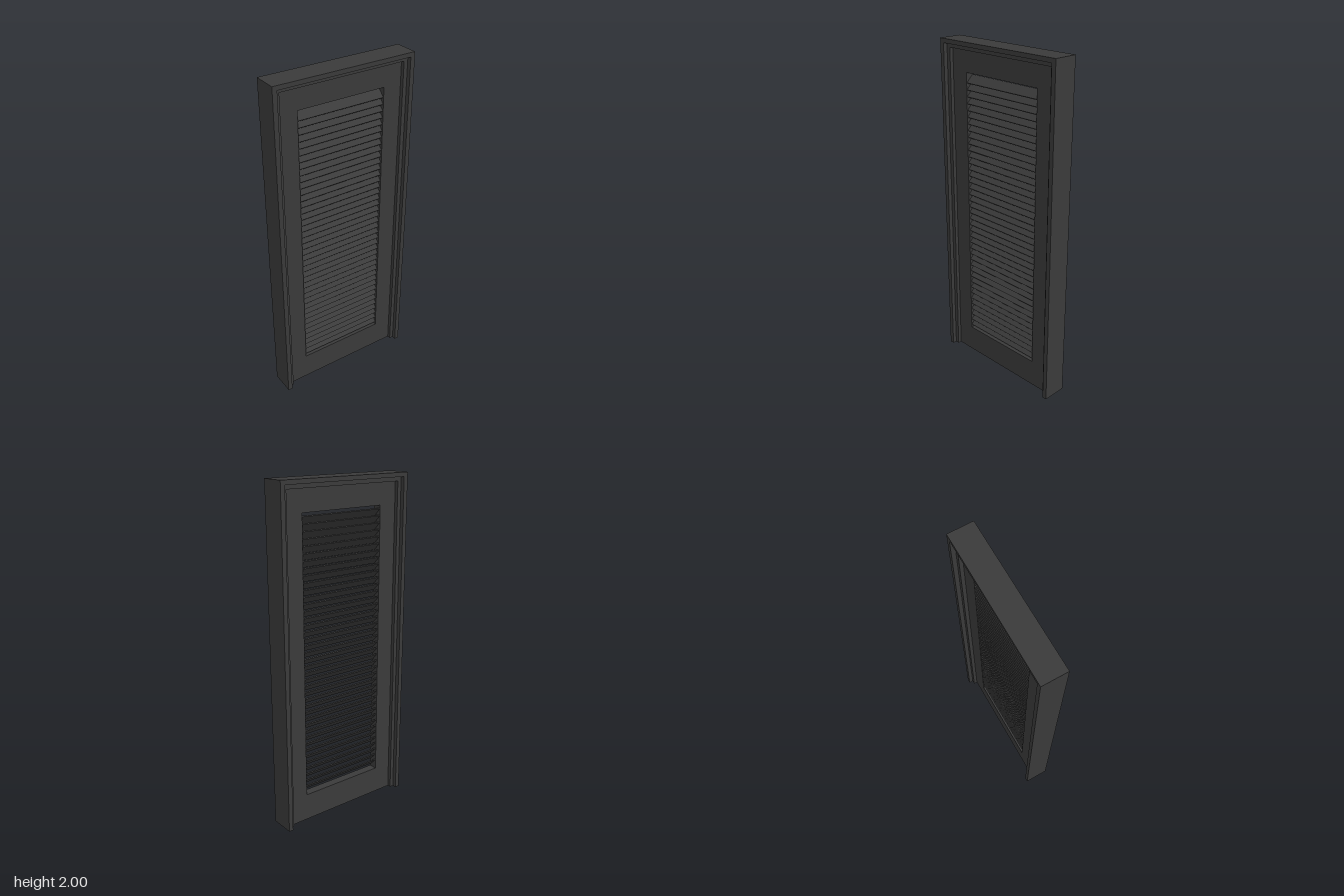
import * as THREE from 'three';

const material = new THREE.MeshStandardMaterial({ color: 0x3a3a3a, roughness: 0.8 });

function addBox(parent, name, w, h, d, x, y, z = 0) {
  const mesh = new THREE.Mesh(new THREE.BoxGeometry(w, h, d), material);
  mesh.name = name;
  mesh.position.set(x, y, z);
  parent.add(mesh);
  return mesh;
}

// Three-sided surround (two legs and a head), open at the floor
function addSurround(parent, name, outX, outY, inX, inY, depth) {
  const shape = new THREE.Shape([
    [-outX, 0], [-inX, 0], [-inX, inY], [inX, inY],
    [inX, 0], [outX, 0], [outX, outY], [-outX, outY],
  ].map(([x, y]) => new THREE.Vector2(x, y)));
  const geometry = new THREE.ExtrudeGeometry(shape, { depth, bevelEnabled: false });
  geometry.translate(0, 0, -depth / 2);
  const mesh = new THREE.Mesh(geometry, material);
  mesh.name = name;
  parent.add(mesh);
}

export function createModel() {
  const model = new THREE.Group();
  model.name = 'louvredDoor';

  // Stepped frame: deep casing with a shallower lining inside it
  const frame = new THREE.Group();
  frame.name = 'doorFrame';
  addSurround(frame, 'casing', 0.432, 2, 0.405, 1.975, 0.146);
  addSurround(frame, 'lining', 0.405, 1.975, 0.381, 1.95, 0.096);
  model.add(frame);

  // Door leaf
  const leaf = new THREE.Group();
  leaf.name = 'doorLeaf';
  const thick = 0.052, low = 0.164, high = 1.822, top = 1.95;
  const middle = (low + high) / 2;
  for (const [side, s] of [['left', 1], ['right', -1]]) {
    addBox(leaf, side + 'Stile', 0.09, top, thick, s * 0.336, top / 2);
    addBox(leaf, side + 'SlatHolder', 0.021, high - low, thick, s * 0.2805, middle);
  }
  addBox(leaf, 'topRail', 0.582, top - high, thick, 0, (top + high) / 2);
  addBox(leaf, 'bottomRail', 0.582, low, thick, 0, low / 2);

  // Slats sloping down towards the front
  const slats = new THREE.Group();
  slats.name = 'slats';
  const count = 41, pitch = 0.0395;
  for (let i = 0; i < count; i++) {
    const y = middle + (i - (count - 1) / 2) * pitch;
    addBox(slats, 'slat', 0.54, 0.007, 0.06, 0, y).rotation.x = Math.PI / 4;
  }
  leaf.add(slats);
  model.add(leaf);

  return model;
}
